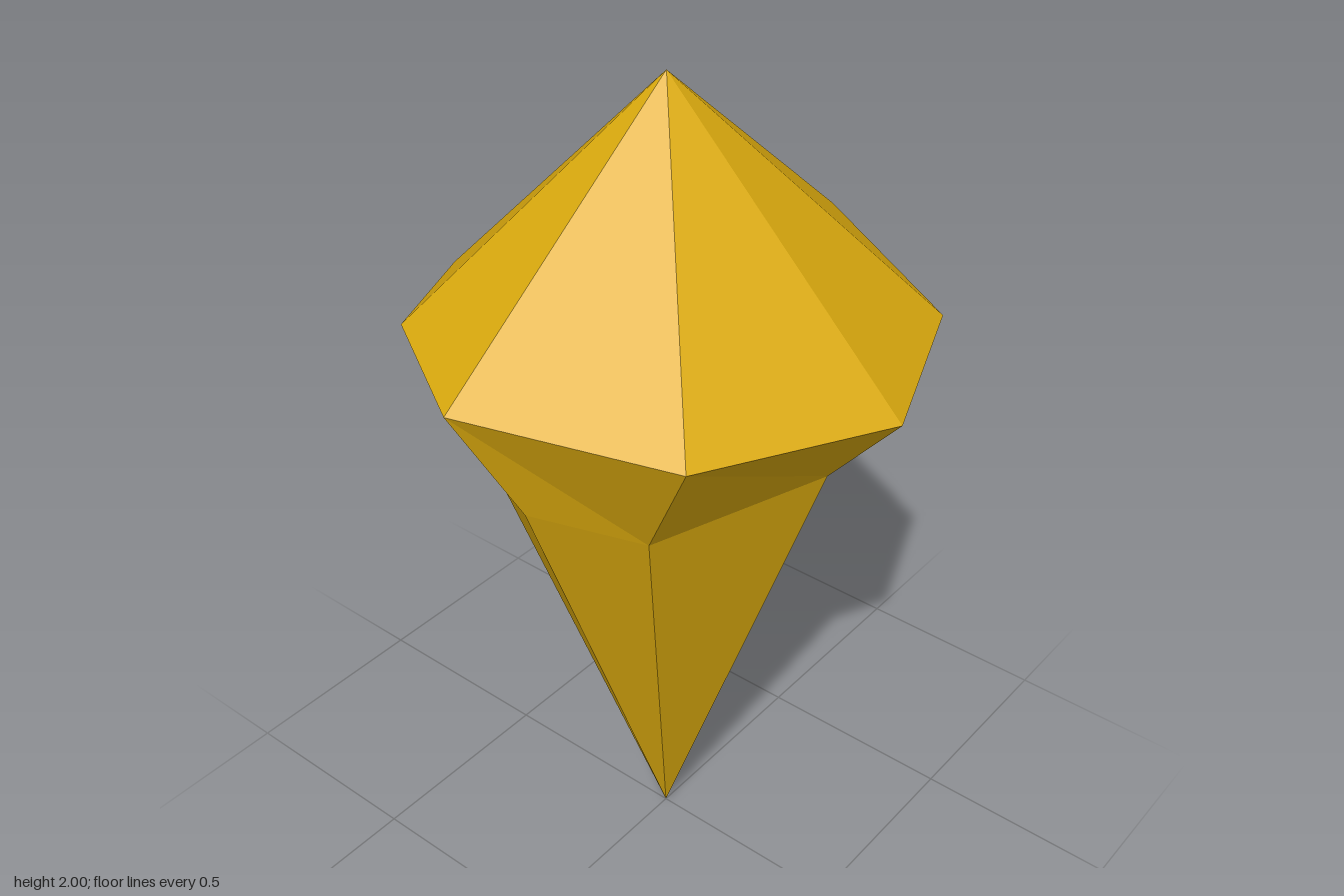
import * as THREE from 'three';

// Irregular eight-sided rings, listed from +x round towards +z
const upperRing = [
  [0.585, 1.5, 0.02], [0.425, 1.42, 0.425], [0.025, 1.405, 0.58], [-0.44, 1.46, 0.405],
  [-0.59, 1.468, -0.07], [-0.41, 1.48, -0.375], [-0.05, 1.406, -0.585], [0.44, 1.405, -0.435],
];
const lowerRing = [
  [0.485, 1.24, -0.015], [0.245, 1.27, 0.335], [0, 1.23, 0.43], [-0.35, 1.165, 0.24],
  [-0.466, 1.2, 0.01], [-0.29, 1.16, -0.295], [-0.025, 1.15, -0.395], [0.326, 1.21, -0.3],
];
const apex = [0, 2, 0];
const tip = [0, 0, 0];

// Builds a mesh of flat facets, calling facet(i, next) for each of the eight sides
function facetMesh(name, material, facet) {
  const points = [];
  for (let i = 0; i < 8; i++) points.push(...facet(i, (i + 1) % 8));
  const geometry = new THREE.BufferGeometry();
  geometry.setAttribute('position', new THREE.Float32BufferAttribute(points.flat(), 3));
  geometry.computeVertexNormals();
  const mesh = new THREE.Mesh(geometry, material);
  mesh.name = name;
  return mesh;
}

export function createModel() {
  const group = new THREE.Group();
  group.name = 'crystal';
  const gold = new THREE.MeshStandardMaterial({ color: 0xdcab0e, flatShading: true });
  gold.name = 'gold';

  const U = upperRing, L = lowerRing;
  group.add(
    // Pointed cap
    facetMesh('crown', gold, (i, n) => [apex, U[n], U[i]]),
    // Narrowing band between the two rings
    facetMesh('girdle', gold, (i, n) => [U[i], U[n], L[i], U[n], L[n], L[i]]),
    // Long lower spike
    facetMesh('spike', gold, (i, n) => [L[i], L[n], tip]),
  );
  return group;
}
